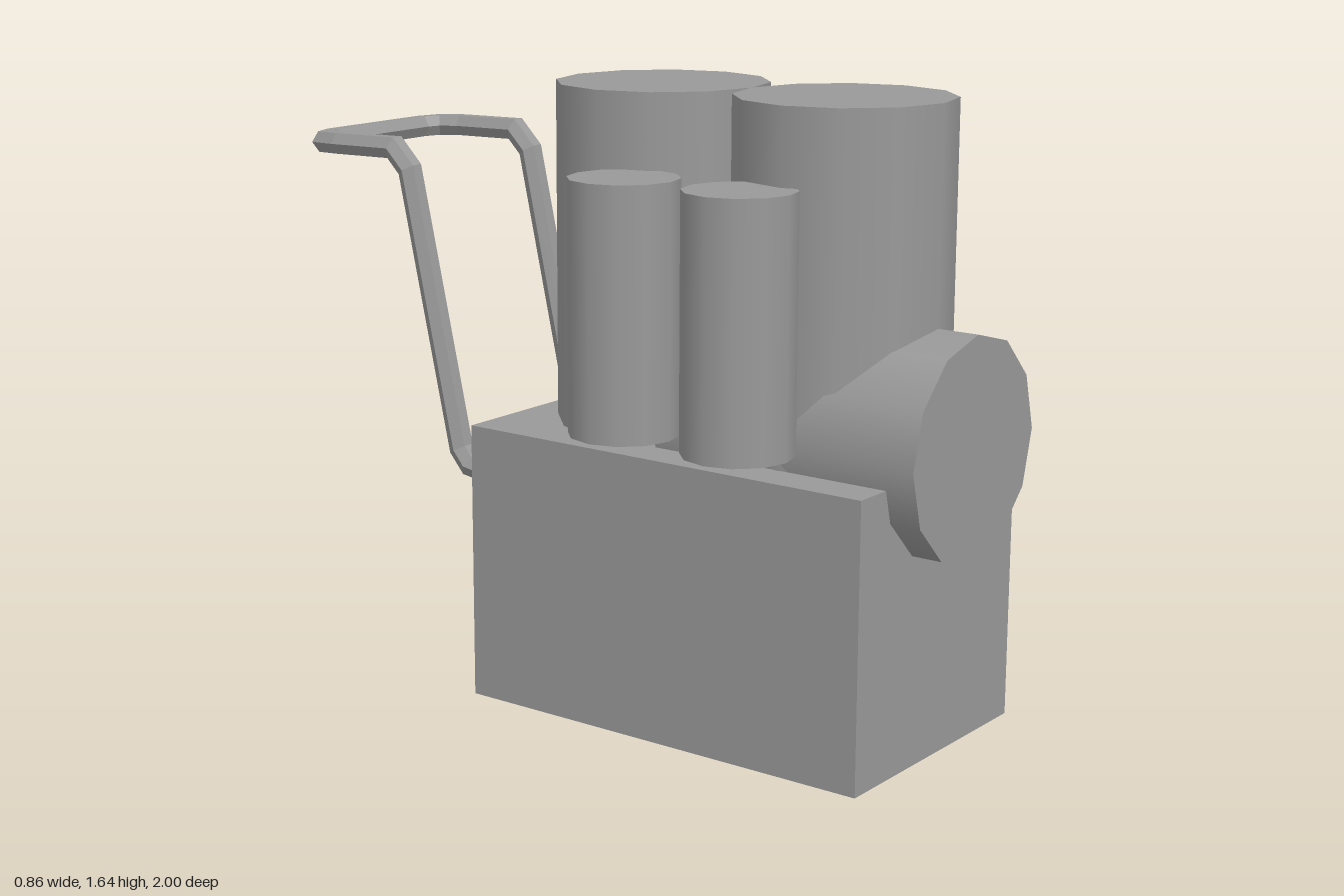
import * as THREE from 'three';

const grey = new THREE.MeshStandardMaterial({ color: 0x999999 });
const flatGrey = new THREE.MeshStandardMaterial({ color: 0x999999, flatShading: true });
const MID = 0.079; // x of the tanks and of the handle's mirror plane

function add(group, name, geometry, material, x = 0, y = 0, z = 0) {
  const mesh = new THREE.Mesh(geometry, material);
  mesh.name = name;
  mesh.position.set(x, y, z);
  group.add(mesh);
}

// Sweeps a hexagon along straight segments, with mitred joints
function hexTube(points, radius) {
  const N = 6, last = points.length - 1;
  const dirs = points.slice(1).map((p, i) => p.clone().sub(points[i]).normalize());
  const side = new THREE.Vector3(1, 0, 0);
  const up = new THREE.Vector3().crossVectors(dirs[0], side).normalize();
  let ring = [];
  for (let j = 0; j < N; j++) {
    const a = (j / N) * Math.PI * 2;
    ring.push(points[0].clone()
      .addScaledVector(side, Math.cos(a) * radius)
      .addScaledVector(up, Math.sin(a) * radius));
  }
  const pos = [], index = [];
  points.forEach((p, i) => {
    if (i > 0) {
      // slide the ring along the segment onto the mitre plane
      const d = dirs[i - 1];
      const n = d.clone().add(dirs[Math.min(i, last - 1)]).normalize();
      ring = ring.map(v => v.clone().addScaledVector(d, p.clone().sub(v).dot(n) / d.dot(n)));
    }
    ring.forEach(v => pos.push(v.x, v.y, v.z));
    if (i === last) return;
    for (let j = 0; j < N; j++) {
      const a = i * N + j, b = i * N + (j + 1) % N;
      index.push(a, b, a + N, b, b + N, a + N);
    }
  });
  const g = new THREE.BufferGeometry();
  g.setAttribute('position', new THREE.Float32BufferAttribute(pos, 3));
  g.setIndex(index);
  g.computeVertexNormals();
  return g;
}

export function createModel() {
  const model = new THREE.Group();
  model.name = 'tankUnit';

  // Base block
  add(model, 'base', new THREE.BoxGeometry(0.737, 0.747, 1.212), flatGrey, 0.0635, 0.3735, 0.311);

  // Two tall tanks
  const tank = new THREE.CylinderGeometry(0.281, 0.281, 0.897, 12);
  [['rearTank', 0.046], ['frontTank', 0.607]].forEach(([name, z]) =>
    add(model, name, tank, grey, MID, 1.1965, z));

  // Lying drum at the front
  const drum = new THREE.CylinderGeometry(0.289, 0.289, 0.77, 12).rotateX(Math.PI / 2);
  add(model, 'drum', drum, grey, MID, 0.804, 0.615);

  // Two small side cylinders
  const bottle = new THREE.CylinderGeometry(0.143, 0.143, 0.65, 12);
  [['rearSideCylinder', 0.199], ['frontSideCylinder', 0.548]].forEach(([name, z]) =>
    add(model, name, bottle, grey, -0.287, 1.123, z));

  // Push handle: half the path, mirrored about its middle
  const half = [
    [0.254, 0.577, -0.29], [0.254, 0.595, -0.412], [0.254, 0.635, -0.446],
    [0.254, 1.385, -0.615], [0.254, 1.44, -0.67], [0.254, 1.436, -0.87],
    [0.238, 1.433, -0.944], [0.184, 1.432, -0.967],
  ];
  const path = [
    ...half.map(([x, y, z]) => new THREE.Vector3(MID - x, y, z)),
    ...half.slice().reverse().map(([x, y, z]) => new THREE.Vector3(MID + x, y, z)),
  ];
  add(model, 'handle', hexTube(path, 0.033), flatGrey);

  // Handle mounting flanges
  const flange = new THREE.CylinderGeometry(0.047, 0.047, 0.02, 6).rotateY(Math.PI / 2).rotateX(Math.PI / 2);
  [['rightFlange', -1], ['leftFlange', 1]].forEach(([name, s]) =>
    add(model, name, flange, flatGrey, MID + s * 0.254, 0.577, -0.303));

  return model;
}
